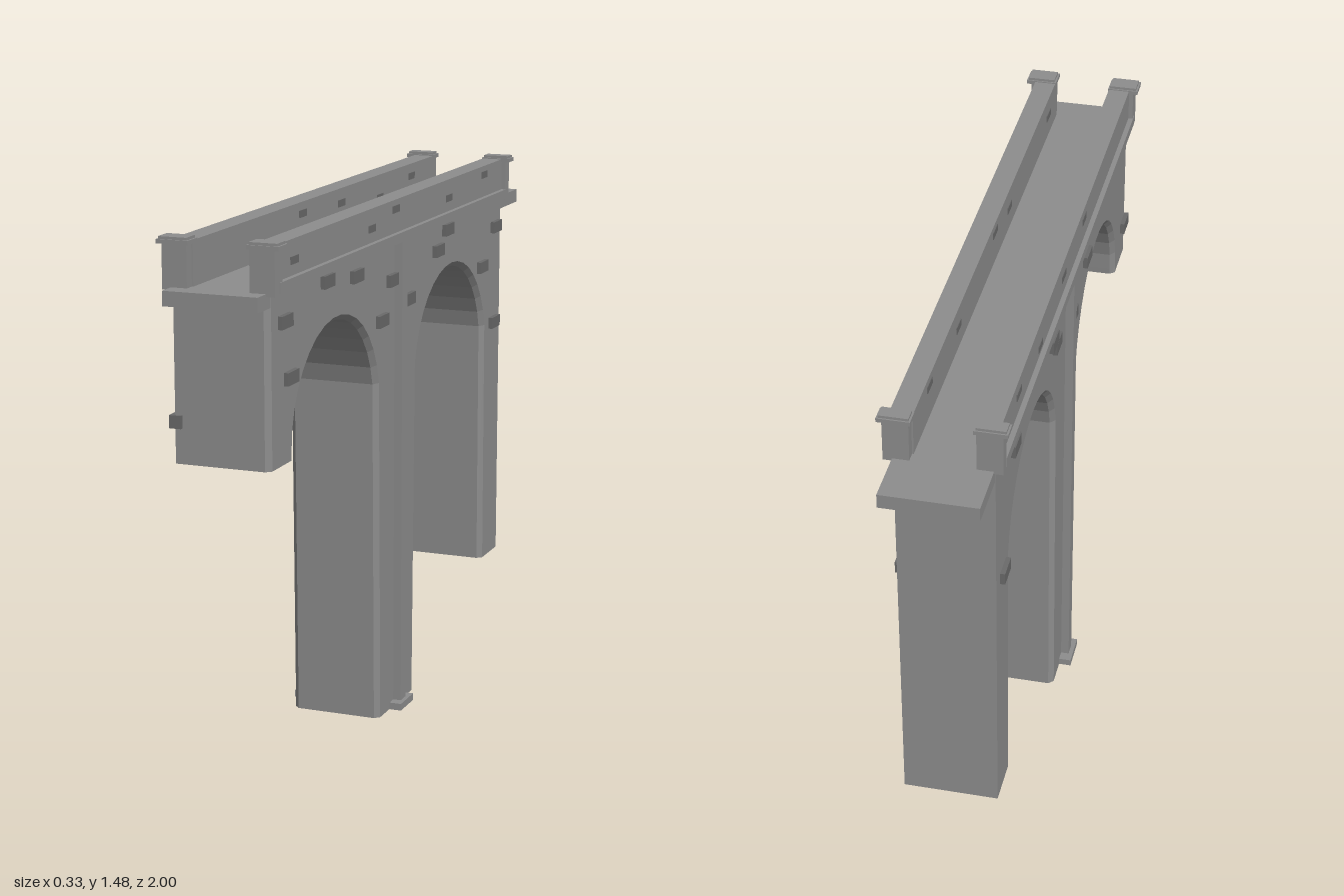
import * as THREE from 'three';

const W = 0.13;        // half width of the masonry body
const BEVEL = 0.014;   // chamfer along the side edges
const TOP = 1.35;
const BACK = -0.837, FRONT = 0.935;
const masonry = new THREE.MeshStandardMaterial({ color: 0x8d8d8d, flatShading: true });
const darkStone = new THREE.MeshStandardMaterial({ color: 0x6a6a6a, flatShading: true });

function add(group, name, geometry, material = masonry) {
  const mesh = new THREE.Mesh(geometry, material);
  mesh.name = name;
  group.add(mesh);
}

// Box given by its limits on each axis
function block(group, name, x0, x1, y0, y1, z0, z1, material) {
  const g = new THREE.BoxGeometry(Math.abs(x1 - x0), y1 - y0, z1 - z0);
  g.translate((x0 + x1) / 2, (y0 + y1) / 2, (z0 + z1) / 2);
  add(group, name, g, material);
}

// Adds arch points from angle a0 to a1 (degrees)
function arch(points, cz, cy, rz, ry, a0, a1, n = 16) {
  for (let i = 0; i <= n; i++) {
    const a = THREE.MathUtils.degToRad(a0 + (a1 - a0) * i / n);
    points.push(new THREE.Vector2(cz + rz * Math.cos(a), cy + ry * Math.sin(a)));
  }
}

// Side profile (z, y) with two arches, extruded across the width with chamfers
function bodyGeometry() {
  const p = [];
  const at = (z, y) => p.push(new THREE.Vector2(z, y));
  at(BACK, 0.235);
  at(-0.692, 0.235);
  arch(p, -0.397, 0.92, 0.295, 0.285, 169, 11);
  at(-0.093, 0);
  at(0.187, 0);
  arch(p, 0.491, 0.92, 0.295, 0.285, 169, 0);
  at(0.788, 0.9);
  at(FRONT, 0.9);
  at(FRONT, TOP);
  at(BACK, TOP);
  const g = new THREE.ExtrudeGeometry(new THREE.Shape(p), {
    depth: 2 * (W - BEVEL), bevelEnabled: true, bevelSegments: 1,
    bevelSize: BEVEL, bevelThickness: BEVEL, bevelOffset: -BEVEL,
  });
  g.rotateY(-Math.PI / 2);
  g.translate(W - BEVEL, 0, 0);
  // Keep the feet, the top, the back end and the right front corner square
  const pos = g.attributes.position;
  const near = (a, b) => Math.abs(a - b) < 1e-3;
  for (let i = 0; i < pos.count; i++) {
    if (!near(Math.abs(pos.getX(i)), W)) continue;
    for (const foot of [0, 0.235, 0.9]) {
      if (near(pos.getY(i), foot + BEVEL)) pos.setY(i, foot);
    }
    if (near(pos.getY(i), TOP - BEVEL)) pos.setY(i, TOP);
    if (near(pos.getZ(i), BACK + BEVEL)) pos.setZ(i, BACK);
    if (pos.getX(i) < 0 && near(pos.getZ(i), FRONT - BEVEL)) pos.setZ(i, FRONT);
  }
  g.computeVertexNormals();
  return g;
}

// Parapet with ledge, end posts, caps and small stones given as [z, y]
function makeParapet(name, s, stones) {
  const parapet = new THREE.Group();
  parapet.name = name;
  block(parapet, 'ledge', s * 0.085, s * 0.155, 1.352, 1.38, -0.82, 0.92);
  block(parapet, 'parapetWall', s * 0.081, s * 0.141, 1.352, 1.472, -0.82, 0.92);
  for (const [z, h] of [[0.925, 0.024], [-0.832, 0.017]]) {
    block(parapet, 'endPost', s * 0.085, s * 0.153, 1.348, 1.466, z - h, z + h);
    block(parapet, 'postCap', s * 0.079, s * 0.166, 1.464, 1.475, z - h - 0.006, z + h + 0.006);
    block(parapet, 'postCapTop', s * 0.084, s * 0.161, 1.475, 1.482, z - h - 0.002, z + h + 0.002);
  }
  for (const [z, y] of stones) {
    block(parapet, 'parapetStone', s * 0.079, s * 0.143, y - 0.01, y + 0.01, z - 0.025, z + 0.025, darkStone);
  }
  return parapet;
}

export function createModel() {
  const model = new THREE.Group();
  model.name = 'archedBridge';

  add(model, 'archedBody', bodyGeometry());
  block(model, 'deckSlab', -0.129, 0.129, 1.316, 1.355, -1, 1);

  // Buttress strip and its plinth on the middle pier
  block(model, 'pierButtress', -0.153, 0.153, 0, 1.355, 0.03, 0.07);
  block(model, 'buttressPlinth', -0.165, 0.165, 0, 0.02, 0, 0.1);

  model.add(
    makeParapet('leftParapet', 1, [[0.8, 1.418], [0.27, 1.418], [0.09, 1.446], [-0.34, 1.418], [-0.65, 1.446]]),
    makeParapet('rightParapet', -1, [[0.22, 1.44], [-0.06, 1.43], [-0.36, 1.405], [-0.62, 1.435]]),
  );

  // Raised stones on the two sides, as [z, y]
  const leftStones = [
    [0.845, 1.27], [0.81, 1.12], [0.567, 1.325], [0.364, 1.305], [0.177, 1.15], [0.097, 1.25],
    [-0.03, 1.175], [-0.27, 1.275], [-0.35, 1.325], [-0.66, 1.165], [-0.785, 1.27], [-0.775, 0.975],
  ];
  const rightStones = [
    [0.91, 1.01], [0.31, 1.26], [0.115, 1.19], [-0.11, 1.245],
    [-0.155, 1.28], [-0.63, 1.28], [-0.757, 0.97],
  ];
  for (const [s, list] of [[1, leftStones], [-1, rightStones]]) {
    for (const [z, y] of list) {
      block(model, 'raisedStone', s * 0.11, s * 0.143, y - 0.017, y + 0.017, z - 0.035, z + 0.035, darkStone);
    }
  }
  return model;
}
